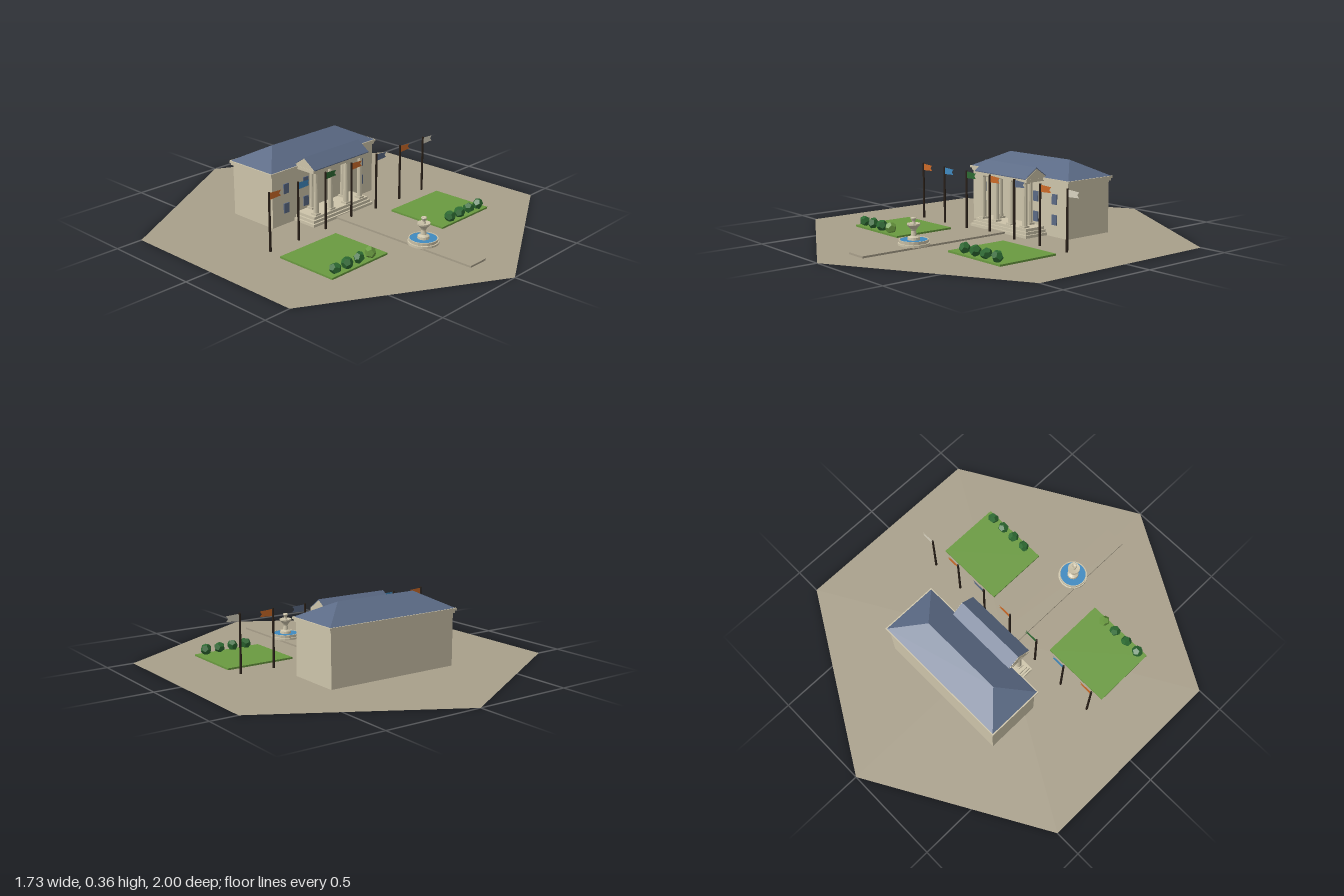
import * as THREE from 'three';

const mat = (name, color, opts = {}) => {
  const m = new THREE.MeshStandardMaterial({ color, ...opts });
  m.name = name;
  return m;
};

export function createModel() {
  const root = new THREE.Group();
  root.name = 'mansionWithGarden';
  const M = {
    ground: mat('gravel', 0xa89f8a, { side: THREE.DoubleSide }),
    stone: mat('paleStone', 0xcdc4aa, { flatShading: true }),
    slate: mat('slateBlue', 0x5b6a85, { side: THREE.DoubleSide, flatShading: true }),
    lawn: mat('lawnGreen', 0x6a9a40, { flatShading: true }),
    bush: mat('bushGreen', 0x2d6a32, { flatShading: true, side: THREE.DoubleSide }),
    water: mat('waterBlue', 0x3f8ac0, { side: THREE.DoubleSide }),
    orange: mat('flagOrange', 0xcc6a28, { side: THREE.DoubleSide }),
    cream: mat('flagCream', 0xd8d2c0, { side: THREE.DoubleSide }),
    pole: mat('darkWood', 0x2a2018),
  };
  const add = (name, geo, material, x = 0, y = 0, z = 0, parent = root) => {
    const m = new THREE.Mesh(geo, material);
    m.name = name;
    m.position.set(x, y, z);
    parent.add(m);
    return m;
  };
  const group = (name) => {
    const g = new THREE.Group();
    g.name = name;
    root.add(g);
    return g;
  };
  // Box given by its limits on each axis
  const block = (name, material, [x0, x1], [y0, y1], [z0, z1], parent = root) =>
    add(name, new THREE.BoxGeometry(x1 - x0, y1 - y0, z1 - z0), material,
      (x0 + x1) / 2, (y0 + y1) / 2, (z0 + z1) / 2, parent);
  // Profile of [z, y] points extruded along x, centred on x = 0
  const alongX = (pts, width) => {
    const shape = new THREE.Shape(pts.map(([z, y]) => new THREE.Vector2(-z, y)));
    return new THREE.ExtrudeGeometry(shape, { depth: width, bevelEnabled: false })
      .translate(0, 0, -width / 2).rotateY(Math.PI / 2);
  };

  // Hexagonal ground, path and lawns
  add('ground', new THREE.CircleGeometry(1, 6).rotateX(-Math.PI / 2).rotateY(Math.PI / 2), M.ground);
  block('path', M.ground, [-0.055, 0.055], [0.001, 0.01], [-0.1, 0.805]);
  for (const s of [-1, 1])
    add('lawn', new THREE.BoxGeometry(0.36, 0.009, 0.325), M.lawn, s * 0.38, 0.0055, 0.283);

  // Main house
  const house = group('house');
  const zc = -0.287;
  block('walls', M.stone, [-0.352, 0.352], [0, 0.262], [zc - 0.138, zc + 0.138], house);
  block('cornice', M.stone, [-0.36, 0.36], [0.258, 0.27], [zc - 0.144, zc + 0.144], house);
  block('eaves', M.stone, [-0.367, 0.367], [0.27, 0.281], [zc - 0.149, zc + 0.149], house);

  // Hipped roof: four eave corners and two ridge ends
  const a = 0.361, d = 0.144, r = 0.218, y0 = 0.2812, y1 = 0.358;
  const hip = new THREE.BufferGeometry();
  hip.setAttribute('position', new THREE.Float32BufferAttribute([
    -a, y0, d, a, y0, d, a, y0, -d, -a, y0, -d, -r, y1, 0, r, y1, 0], 3));
  hip.setIndex([0, 1, 5, 0, 5, 4, 2, 3, 4, 2, 4, 5, 1, 2, 5, 3, 0, 4]);
  const hipFlat = hip.toNonIndexed();
  hipFlat.computeVertexNormals();
  add('hippedRoof', hipFlat, M.slate, 0, 0, zc, house);

  // Two rows of front windows
  for (const x of [-0.264, -0.132, 0.132, 0.264])
    for (const y of [0.083, 0.183])
      add('window', new THREE.BoxGeometry(0.033, 0.05, 0.006), M.slate, x, y, zc + 0.14, house);

  // Portico: steps, columns, entablature and gable
  const portico = group('portico');
  for (let i = 0; i < 3; i++)
    block('step', M.stone, [-0.21 + i * 0.01, 0.21 - i * 0.01], [i * 0.014, (i + 1) * 0.014],
      [-0.16, -0.014 - i * 0.009], portico);
  const columnAt = (x, z) => {
    add('columnBase', new THREE.BoxGeometry(0.034, 0.009, 0.034), M.stone, x, 0.0465, z, portico);
    add('columnShaft', new THREE.CylinderGeometry(0.0115, 0.014, 0.205, 10), M.stone, x, 0.1535, z, portico);
    add('columnCapital', new THREE.BoxGeometry(0.034, 0.01, 0.034), M.stone, x, 0.26, z, portico);
  };
  for (const x of [-0.155, -0.055, 0.055, 0.155]) columnAt(x, -0.054);
  for (const x of [-0.11, 0.11]) columnAt(x, -0.127);
  block('entablature', M.stone, [-0.193, 0.193], [0.265, 0.281], [-0.165, -0.03], portico);
  add('pediment', alongX([[-0.165, 0.28], [-0.028, 0.28], [-0.0965, 0.328]], 0.384), M.stone, 0, 0, 0, portico);
  add('porticoRoof', alongX([[-0.167, 0.28], [-0.0965, 0.3285], [-0.026, 0.28],
    [-0.026, 0.284], [-0.0965, 0.3335], [-0.167, 0.284]], 0.38), M.slate, 0, 0, 0, portico);

  // Fountain
  const fountain = group('fountain');
  fountain.position.set(0, 0, 0.49);
  const lathe = (pts, n) => new THREE.LatheGeometry(pts.map(([x, y]) => new THREE.Vector2(x, y)), n);
  const stoneOpen = M.stone;
  add('basin', lathe([[0.074, 0.008], [0.074, 0.02], [0.069, 0.021], [0.07, 0.035],
    [0.065, 0.035], [0.064, 0.02], [0, 0.02]], 20), stoneOpen, 0, 0, 0, fountain);
  add('poolWater', new THREE.CircleGeometry(0.0655, 20).rotateX(-Math.PI / 2), M.water, 0, 0.033, 0, fountain);
  add('pedestal', lathe([[0.03, 0.03], [0.028, 0.045], [0.014, 0.052], [0.011, 0.075], [0.016, 0.085],
    [0.031, 0.102], [0.031, 0.109], [0.01, 0.106], [0.007, 0.118], [0.014, 0.133], [0.012, 0.137],
    [0, 0.133]], 14), stoneOpen, 0, 0, 0, fountain);

  // Rounded bushes along the lawns
  [-0.515, -0.44, -0.363, -0.288, 0.288, 0.363, 0.437, 0.512].forEach((x, i) => {
    const bush = add('bush', new THREE.DodecahedronGeometry(0.029, 0), i === 3 ? M.lawn : M.bush, x, 0.034, 0.42);
    bush.rotation.set(i * 0.7, i * 1.3, i * 0.4);
    bush.scale.y = 0.9;
  });

  // Flagpoles with swallow-tailed flags
  const flagShape = new THREE.Shape([[0, 0], [0.07, -0.004], [0.058, -0.018], [0.07, -0.031], [0, -0.034]]
    .map(([x, y]) => new THREE.Vector2(x, y)));
  const flagGeo = new THREE.ShapeGeometry(flagShape);
  [M.orange, M.water, M.bush, M.orange, M.slate, M.orange, M.cream].forEach((m, i) => {
    const x = (i - 3) * 0.18;
    add('flagpole', new THREE.CylinderGeometry(0.005, 0.006, 0.29, 8), M.pole, x, 0.145, 0.035);
    add('flag', flagGeo, m, x + 0.003, 0.286, 0.035);
  });

  return root;
}
